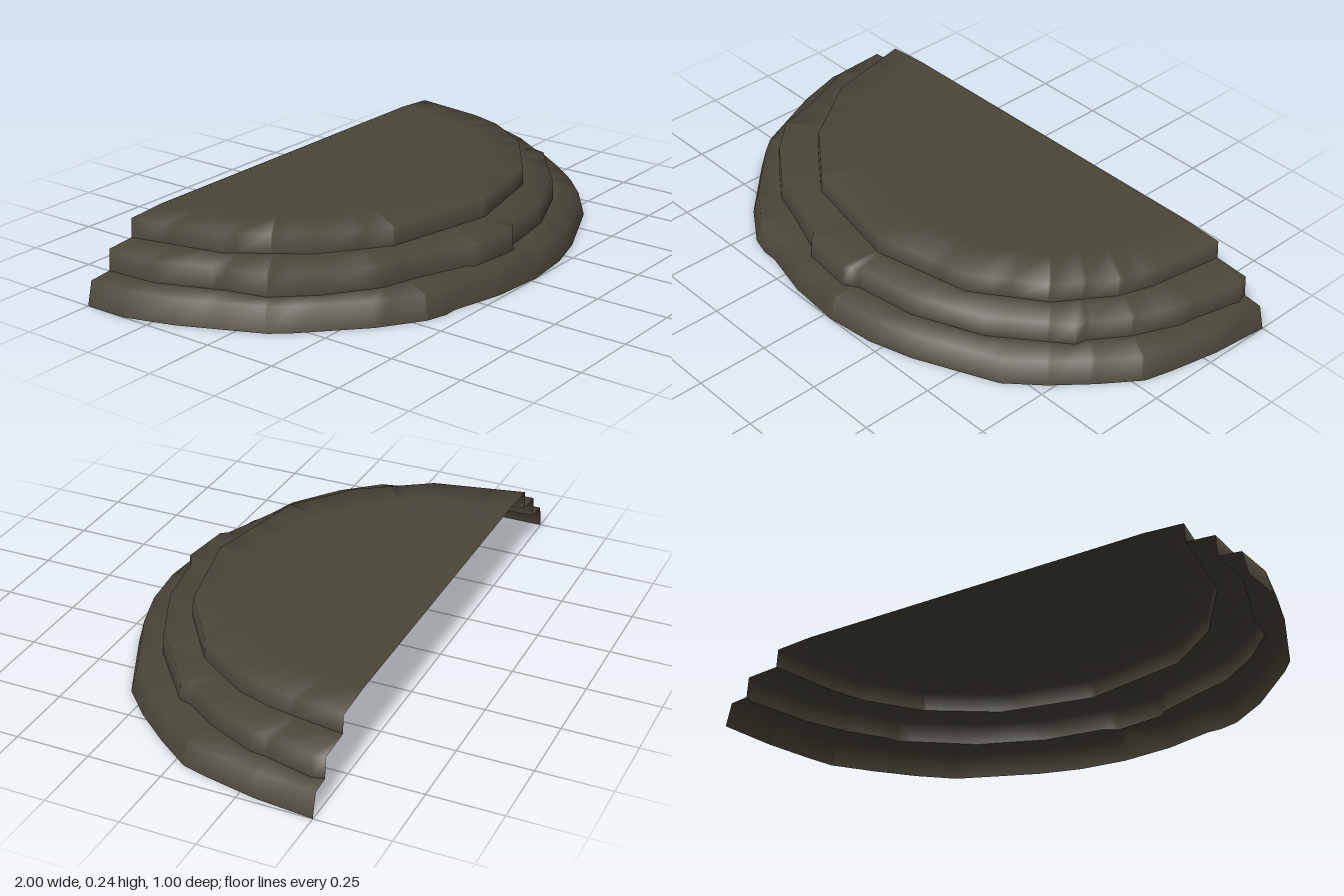
import * as THREE from 'three';

// Worn outlines [x, z] of the three steps, from the left-hand back corner round the front
const BACK = -0.5;
const OUTLINES = [
  [[-1, -0.5], [-1, -0.35], [-0.95, -0.18], [-0.83, 0.09], [-0.78, 0.15], [-0.6, 0.325], [-0.46, 0.42], [-0.39, 0.44],
    [-0.34, 0.44], [-0.16, 0.485], [0.03, 0.5], [0.2, 0.48], [0.35, 0.435], [0.625, 0.31], [0.73, 0.21], [0.83, 0.09],
    [0.92, -0.035], [0.945, -0.13], [0.98, -0.3], [1, -0.5]],
  [[-0.9, -0.5], [-0.89, -0.32], [-0.8, -0.09], [-0.77, 0.04], [-0.66, 0.16], [-0.5, 0.275], [-0.385, 0.31], [-0.2, 0.38],
    [-0.18, 0.405], [0.005, 0.425], [0.05, 0.395], [0.27, 0.36], [0.5, 0.26], [0.72, 0.08], [0.73, 0.04], [0.81, -0.08],
    [0.88, -0.24], [0.885, -0.29], [0.925, -0.46], [0.915, -0.5]],
  [[-0.795, -0.5], [-0.725, -0.18], [-0.56, 0.06], [-0.355, 0.215], [0.03, 0.295], [0.37, 0.22], [0.59, 0.06],
    [0.71, -0.12], [0.75, -0.24], [0.79, -0.5]],
];

const angleOf = ([x, z]) => Math.atan2(x, z - BACK);

// Every corner angle of every outline, so neighbouring steps share their seams
const ANGLES = OUTLINES.flat().map(angleOf).sort((a, b) => a - b)
  .filter((a, i, all) => i === 0 || a - all[i - 1] > 1e-4);

// Where a ray from the middle of the back edge meets an outline
function sample(outline, angle) {
  let i = 0;
  while (i < outline.length - 2 && angleOf(outline[i + 1]) < angle) i++;
  const [ax, az] = outline[i], [bx, bz] = outline[i + 1];
  const s = Math.sin(angle), c = Math.cos(angle);
  const da = ax * c - (az - BACK) * s, db = bx * c - (bz - BACK) * s;
  const t = THREE.MathUtils.clamp(da / (da - db), 0, 1);
  return [ax + (bx - ax) * t, az + (bz - az) * t];
}

// Smooth strip through rings of { outline, scale, y }
function stepSurface(rings) {
  const n = ANGLES.length, positions = [], index = [];
  for (const { outline, scale, y } of rings) {
    for (const angle of ANGLES) {
      const [x, z] = sample(outline, angle);
      positions.push(x * scale, y, BACK + (z - BACK) * scale);
    }
  }
  for (let r = 0; r < rings.length - 1; r++) {
    for (let j = 0; j < n - 1; j++) {
      const a = r * n + j, b = a + 1, c = a + n, d = c + 1;
      index.push(a, b, d);
      if (rings[r + 1].scale > 0) index.push(a, d, c);
    }
  }
  const geometry = new THREE.BufferGeometry();
  geometry.setAttribute('position', new THREE.Float32BufferAttribute(positions, 3));
  geometry.setIndex(index);
  geometry.computeVertexNormals();
  return geometry;
}

export function createModel() {
  const group = new THREE.Group();
  group.name = 'halfRoundSteps';
  const stone = new THREE.MeshStandardMaterial({ color: 0x4a4538, side: THREE.DoubleSide });
  stone.name = 'darkStone';
  const [low, mid, top] = OUTLINES;

  const parts = {
    // Riser and tread of each open-backed step
    bottomStep: [
      { outline: low, scale: 1, y: 0 },
      { outline: low, scale: 0.98, y: 0.08 },
      { outline: mid, scale: 1, y: 0.087 },
    ],
    middleStep: [
      { outline: mid, scale: 1, y: 0.087 },
      { outline: mid, scale: 0.995, y: 0.159 },
      { outline: top, scale: 1, y: 0.167 },
    ],
    // Top riser, sloping rim and flat platform
    topStep: [
      { outline: top, scale: 1, y: 0.167 },
      { outline: top, scale: 0.995, y: 0.231 },
      { outline: top, scale: 0.82, y: 0.24 },
      { outline: top, scale: 0, y: 0.24 },
    ],
  };
  for (const [name, rings] of Object.entries(parts)) {
    const mesh = new THREE.Mesh(stepSurface(rings), stone);
    mesh.name = name;
    group.add(mesh);
  }
  return group;
}
